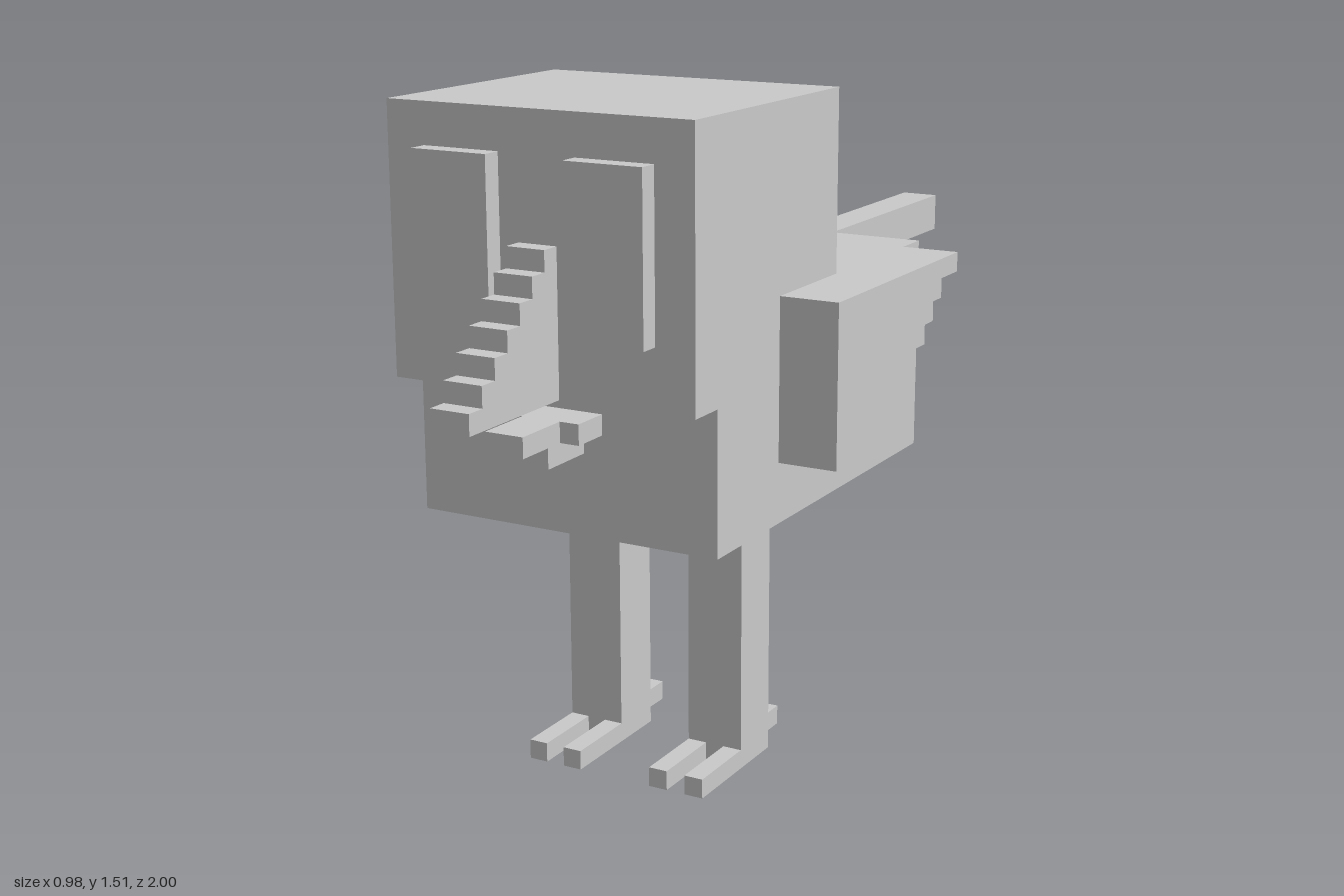
import * as THREE from 'three';

// The whole bird sits on a voxel grid, 45 cells long
const U = 2 / 45;
const material = new THREE.MeshStandardMaterial({ color: 0xcccccc, flatShading: true });

// Box given by its limits in grid cells
function box(name, [x0, x1], [y0, y1], [z0, z1]) {
  const geometry = new THREE.BoxGeometry((x1 - x0) * U, (y1 - y0) * U, (z1 - z0) * U);
  const mesh = new THREE.Mesh(geometry, material);
  mesh.position.set((x0 + x1) / 2 * U, (y0 + y1) / 2 * U, (z0 + z1) / 2 * U);
  mesh.name = name;
  return mesh;
}

// Side outline of [z, y] cells, extruded from x0 to x1
function slab(name, outline, x0, x1) {
  const shape = new THREE.Shape(outline.map(([z, y]) => new THREE.Vector2(-z * U, y * U)));
  const geometry = new THREE.ExtrudeGeometry(shape, { depth: (x1 - x0) * U, bevelEnabled: false });
  geometry.rotateY(Math.PI / 2).translate(x0 * U, 0, 0);
  const mesh = new THREE.Mesh(geometry, material);
  mesh.name = name;
  return mesh;
}

// Stepped wing: each row reaches one cell further back, the top row two
function wingOutline() {
  const points = [[7.5, 25], [7.5, 17]];
  for (let row = 0; row < 8; row++) {
    const back = row < 7 ? 1.5 - row : -6.5;
    points.push([back, 17 + row], [back, 18 + row]);
  }
  return points;
}

// Stepped beak: each row is one cell shorter than the one below
function beakOutline() {
  const points = [[15.5, 21]];
  for (let row = 0; row < 7; row++) points.push([22.5 - row, 21 + row], [22.5 - row, 22 + row]);
  points.push([15.5, 28]);
  return points;
}

export function createModel() {
  const model = new THREE.Group();
  model.name = 'blockBird';

  model.add(
    box('body', [-8, 8], [14, 25], [-8.5, 13.5]),
    box('head', [-8, 8], [21, 34], [1.5, 15.5]),
    slab('beak', beakOutline(), -1, 1),
    // lower jaw: stepped centre with a short block on each side
    slab('lowerBeak', [[13.5, 18], [16.5, 18], [16.5, 19], [18.5, 19], [18.5, 20], [13.5, 20]], -1, 1),
    box('longTailFeather', [1, 3], [23, 25], [-22.5, -8.5]),
    box('shortTailFeather', [-3, -1], [23, 25], [-14.5, -8.5])
  );

  for (const [side, s] of [['left', 1], ['right', -1]]) {
    const span = (a, b) => (s > 0 ? [a, b] : [-b, -a]);
    model.add(
      box(side + 'Eye', span(2, 6).map((x) => x + 2 * s), [24, 32], [15.5, 16.5]),
      box(side + 'JawCorner', span(1, 2), [19, 20], [13.5, 15.5]),
      slab(side + 'Wing', wingOutline(), ...span(8, 11))
    );
    // leg with two front toes and one back toe
    const leg = new THREE.Group();
    leg.name = side + 'Leg';
    leg.add(
      box('shin', span(2, 5), [0, 14], [2.5, 5.5]),
      box('innerToe', span(2, 3), [0, 1], [5.5, 9.5]),
      box('outerToe', span(4, 5), [0, 1], [5.5, 9.5]),
      box('backToe', span(3, 4), [0, 1], [-0.5, 2.5])
    );
    model.add(leg);
  }
  // eyes sit two to six cells from the centre line
  for (const [name, x] of [['leftEye', 4], ['rightEye', -4]]) {
    model.getObjectByName(name).position.x = x * U;
  }
  return model;
}
